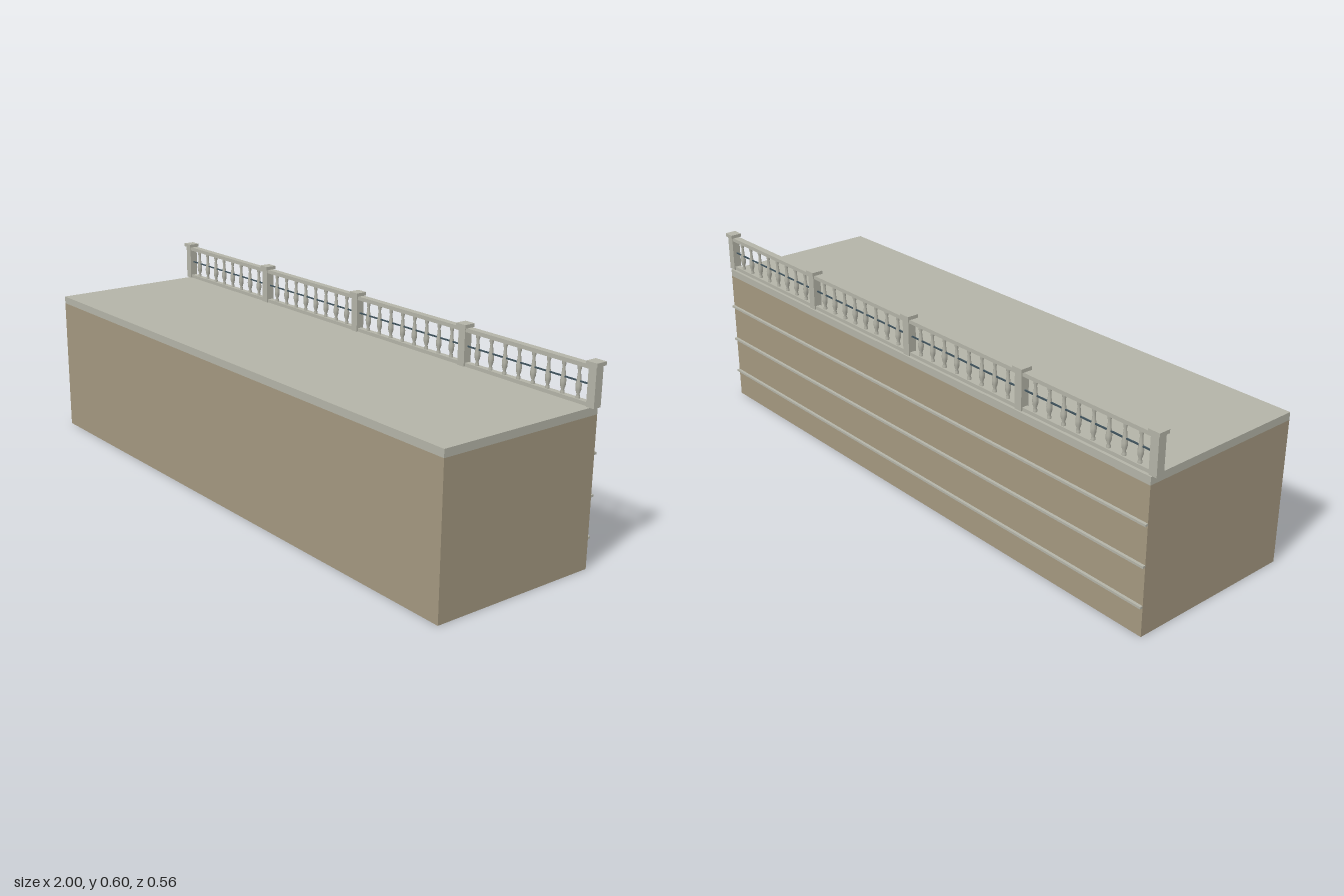
import * as THREE from 'three';

export function createModel() {
  const model = new THREE.Group();
  model.name = 'embankment';

  const mat = (name, color) => {
    const m = new THREE.MeshStandardMaterial({ color });
    m.name = name;
    return m;
  };
  const earth = mat('tan wall', 0xa3977f);
  const stone = mat('pale stone', 0xb3b3a7);
  const metal = mat('dark rail metal', 0x3f525c);

  const box = (parent, name, material, [x0, x1], [y0, y1], [z0, z1]) => {
    const mesh = new THREE.Mesh(new THREE.BoxGeometry(x1 - x0, y1 - y0, z1 - z0), material);
    mesh.position.set((x0 + x1) / 2, (y0 + y1) / 2, (z0 + z1) / 2);
    mesh.name = name;
    parent.add(mesh);
    return mesh;
  };

  const half = 0.98, back = -0.272, front = 0.282;
  const deckY = 0.475, railZ = -0.2535;

  // Wall body and paved deck
  box(model, 'wallBody', earth, [-half, half], [0, 0.451], [back, front]);
  box(model, 'deckSlab', stone, [-half, half], [0.451, deckY], [back, front]);

  // Thin horizontal courses on the back face
  for (const y of [0.093, 0.216, 0.339]) {
    box(model, 'wallCourse', stone, [-half, half], [y - 0.0035, y + 0.0035], [-0.281, back]);
  }

  // Balustrade
  const balustrade = new THREE.Group();
  balustrade.name = 'balustrade';
  model.add(balustrade);

  const bays = 4, perBay = 8, pitch = (2 * half) / bays;
  for (let i = 0; i <= bays; i++) {
    const x = -half + i * pitch;
    box(balustrade, 'post', stone, [x - 0.0135, x + 0.0135], [deckY, 0.592], [railZ - 0.0135, railZ + 0.0135]);
    box(balustrade, 'postCap', stone, [x - 0.019, x + 0.019], [0.591, 0.602], [railZ - 0.0185, railZ + 0.0185]);
  }

  box(balustrade, 'bottomRail', stone, [-half, half], [deckY, 0.486], [railZ - 0.009, railZ + 0.009]);
  box(balustrade, 'topRail', stone, [-half, half], [0.579, 0.591], [railZ - 0.011, railZ + 0.011]);
  box(balustrade, 'middleRail', metal, [-half, half], [0.5325, 0.5365], [railZ - 0.002, railZ + 0.002]);

  // Turned balusters, widest below the middle
  const profile = [
    [0.006, 0.485], [0.006, 0.492], [0.004, 0.497], [0.008, 0.51], [0.0085, 0.522],
    [0.0055, 0.545], [0.004, 0.562], [0.006, 0.57], [0.006, 0.58],
  ].map(([r, y]) => new THREE.Vector2(r, y));
  const balusterGeometry = new THREE.LatheGeometry(profile, 8);
  for (let i = 0; i < bays; i++) {
    for (let j = 1; j <= perBay; j++) {
      const baluster = new THREE.Mesh(balusterGeometry, stone);
      baluster.name = 'baluster';
      baluster.position.set(-half + pitch * (i + j / (perBay + 1)), 0, railZ);
      balustrade.add(baluster);
    }
  }

  return model;
}
